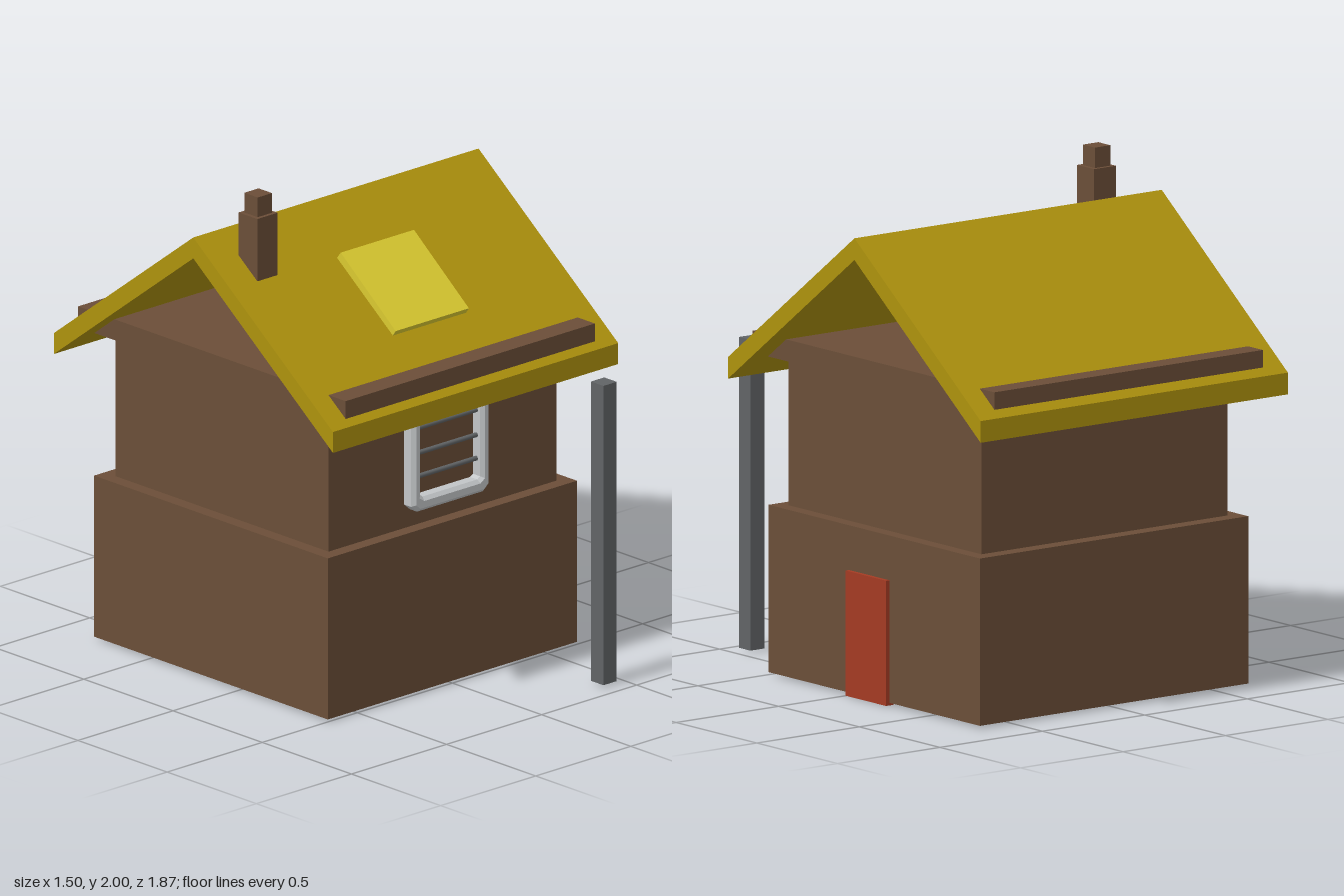
import * as THREE from 'three';

const paint = (name, color) => {
  const m = new THREE.MeshStandardMaterial({ color });
  m.name = name;
  return m;
};

export function createModel() {
  const house = new THREE.Group();
  house.name = 'house';

  const brown = paint('brown wall', 0x6b4e38);
  const ochre = paint('ochre roof', 0xae920d);
  const yellow = paint('yellow skylight', 0xdaca30);
  const red = paint('red door', 0xa43b23);
  const grey = paint('grey metal', 0x616466);
  const pale = paint('pale frame', 0xc2c5c7);

  const add = (name, geometry, material, parent = house) => {
    const mesh = new THREE.Mesh(geometry, material);
    mesh.name = name;
    parent.add(mesh);
    return mesh;
  };

  // Box given by its lower and upper limits on each axis
  const box = (name, material, [x0, x1], [y0, y1], [z0, z1]) => {
    const g = new THREE.BoxGeometry(x1 - x0, y1 - y0, z1 - z0);
    g.translate((x0 + x1) / 2, (y0 + y1) / 2, (z0 + z1) / 2);
    return add(name, g, material);
  };

  // Side profile of [z, y] points, extruded from x0 to x1
  const profile = (name, material, points, x0, x1) => {
    const shape = new THREE.Shape(points.map(([z, y]) => new THREE.Vector2(z, y)));
    const g = new THREE.ExtrudeGeometry(shape, { depth: x1 - x0, bevelEnabled: false });
    g.rotateY(-Math.PI / 2);
    g.translate(x1, 0, 0);
    return add(name, g, material);
  };

  // Storeys and the ceiling slab whose edges poke through the roof
  box('lowerStorey', brown, [-0.655, 0.655], [0.01, 0.665], [-0.81, 0.5]);
  box('upperStorey', brown, [-0.6, 0.6], [0.665, 1.245], [-0.75, 0.445]);
  box('ceilingSlab', brown, [-0.655, 0.655], [1.245, 1.33], [-0.9, 0.6]);

  // Open gable roof
  profile('roof', ochre, [
    [0.63, 1.15], [0.63, 1.235], [-0.153, 1.825], [-0.935, 1.235],
    [-0.935, 1.15], [-0.153, 1.74],
  ], -0.75, 0.75);

  // Skylight panel lying on the front slope
  profile('skylight', yellow, [
    [0.372, 1.425], [0.39, 1.45], [0.082, 1.69], [0.06, 1.662],
  ], -0.195, 0.19);

  // Chimney
  box('chimney', brown, [-0.61, -0.503], [1.625, 1.92], [-0.048, 0.057]);
  box('chimneyTop', brown, [-0.594, -0.519], [1.92, 2], [-0.033, 0.042]);

  // Door on the left side and free-standing post
  box('door', red, [0.635, 0.672], [0, 0.49], [-0.25, 0]);
  box('post', grey, [0.386, 0.456], [0.01, 1.227], [0.865, 0.935]);

  // U-shaped window frame with chamfered corners and bevelled edges
  const windowGroup = new THREE.Group();
  windowGroup.name = 'window';
  house.add(windowGroup);
  const b = 0.014;
  const half = [
    [0.168, 0.749], [0.19, 0.768], [0.19, 1.122], [0.18, 1.131],
    [0.178, 1.131], [0.172, 1.122], [0.172, 0.792], [0.148, 0.776],
  ];
  const outline = [...half, ...half.map(([x, y]) => [-x, y]).reverse()];
  const frame = new THREE.ExtrudeGeometry(
    new THREE.Shape(outline.map(([x, y]) => new THREE.Vector2(x, y))),
    { depth: 0.04, bevelEnabled: true, bevelSize: b, bevelThickness: b, bevelSegments: 1 });
  frame.translate(0, 0, 0.446);
  add('windowFrame', frame, pale, windowGroup);

  // Window bars
  for (const y of [1.065, 0.963, 0.868]) {
    const g = new THREE.CylinderGeometry(0.01, 0.01, 0.33, 8);
    g.rotateZ(Math.PI / 2);
    add('windowBar', g, grey, windowGroup).position.set(0, y, 0.465);
  }

  return house;
}
